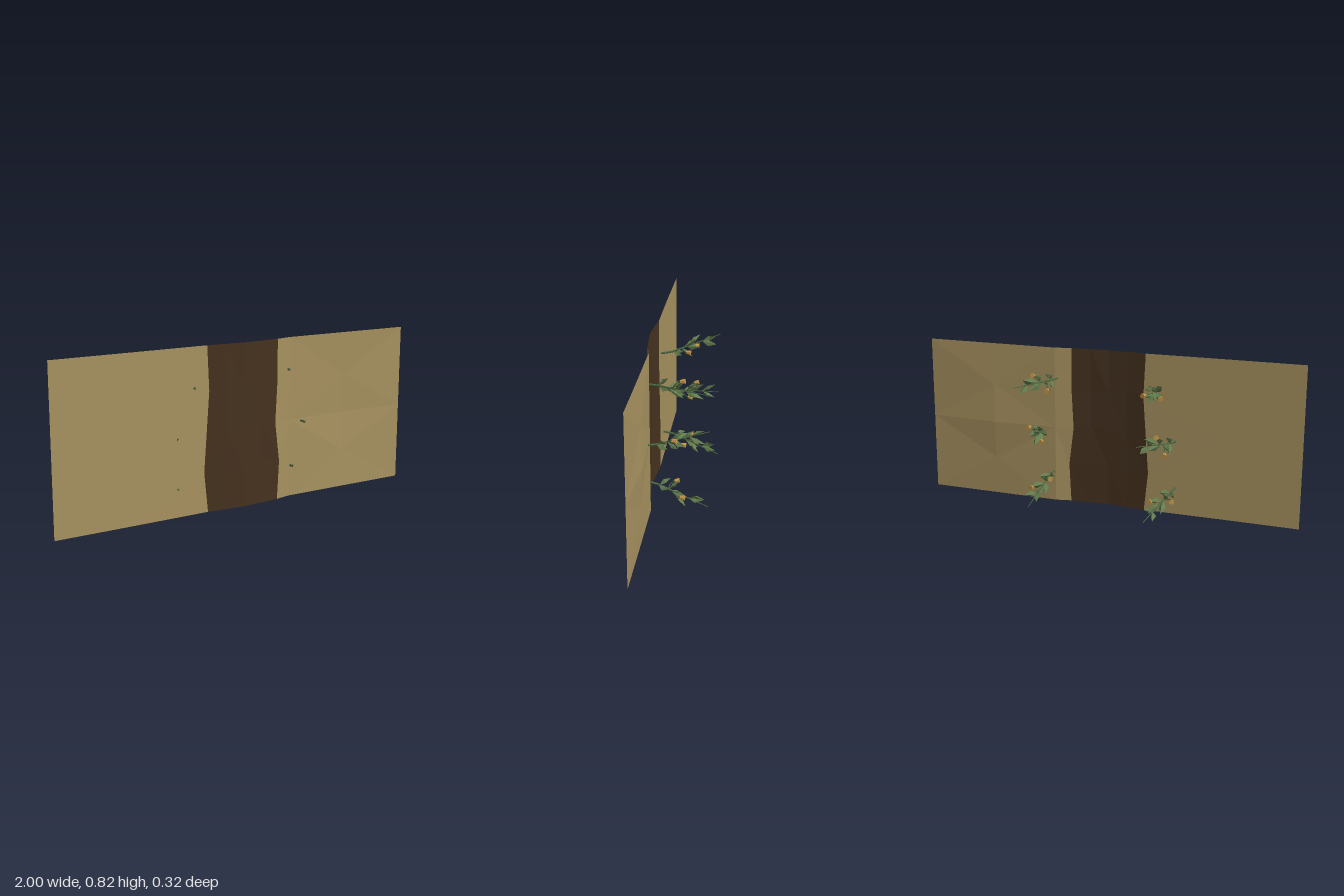
import * as THREE from 'three';

const V = (x, y, z) => new THREE.Vector3(x, y, z);

const mat = (name, color, side = THREE.FrontSide) => {
  const m = new THREE.MeshStandardMaterial({ color, side, flatShading: true });
  m.name = name;
  return m;
};

function addMesh(parent, name, geometry, material) {
  const m = new THREE.Mesh(geometry, material);
  m.name = name;
  parent.add(m);
  return m;
}

// Facetted sheet from rows of points (each row runs along x, rows go up)
function sheetGeometry(rows) {
  const pos = [];
  for (let r = 0; r < rows.length - 1; r++) {
    for (let c = 0; c < rows[r].length - 1; c++) {
      const [a, b, d, e] = [rows[r][c], rows[r][c + 1], rows[r + 1][c + 1], rows[r + 1][c]];
      const tris = (r + c) % 2 ? [a, b, d, a, d, e] : [a, b, e, b, d, e];
      tris.forEach((p) => pos.push(p.x, p.y, p.z));
    }
  }
  const g = new THREE.BufferGeometry();
  g.setAttribute('position', new THREE.Float32BufferAttribute(pos, 3));
  g.computeVertexNormals();
  return g;
}

// Folded diamond leaf between two points
function leafGeometry(from, to, width) {
  const dir = to.clone().sub(from);
  const side = dir.clone().cross(V(0, 0, 1)).normalize().multiplyScalar(width / 2);
  const up = side.clone().cross(dir).normalize().multiplyScalar(width * 0.25);
  const mid = from.clone().addScaledVector(dir, 0.48);
  const rib = mid.clone().sub(up);
  const left = mid.clone().add(side).add(up);
  const right = mid.clone().sub(side).add(up);
  return sheetGeometry([[from, left], [rib, to]].map((r) => r)).copy(
    new THREE.BufferGeometry().setFromPoints(
      [from, left, rib, rib, left, to, from, rib, right, rib, to, right])).toNonIndexed2?.() ??
    finish([from, left, rib, rib, left, to, from, rib, right, rib, to, right]);
}

function finish(points) {
  const g = new THREE.BufferGeometry().setFromPoints(points);
  g.computeVertexNormals();
  return g;
}

// Tapered tube along a curve
function taperedTube(points, r0, r1, segments) {
  const sides = 6;
  const curve = new THREE.CatmullRomCurve3(points);
  const g = new THREE.TubeGeometry(curve, segments, 1, sides, false);
  const p = g.attributes.position;
  for (let i = 0; i < p.count; i++) {
    const t = Math.floor(i / (sides + 1)) / segments;
    const c = curve.getPointAt(t);
    const v = V().fromBufferAttribute(p, i).sub(c).multiplyScalar(r0 + (r1 - r0) * t).add(c);
    p.setXYZ(i, v.x, v.y, v.z);
  }
  g.computeVertexNormals();
  return g;
}

function makePlant(m) {
  const plant = new THREE.Group();
  plant.name = 'plant';
  const path = [V(0, 0, 0.16), V(0.012, 0, 0.09), V(0.045, 0, 0.01), V(0.115, 0, -0.16)];
  addMesh(plant, 'stem', taperedTube(path, 0.006, 0.0018, 10), m.stem);

  // Leaves: base, tip, width
  const leaves = [
    [V(0.015, 0, 0.085), V(0.025, 0.042, 0.033), 0.032],
    [V(0.018, 0, 0.08), V(-0.012, -0.03, 0.03), 0.032],
    [V(0.04, 0, 0.025), V(0.075, -0.035, -0.045), 0.036],
    [V(0.045, 0, 0.015), V(0.055, 0.048, -0.05), 0.036],
    [V(0.05, 0, 0.0), V(0.115, 0.015, -0.053), 0.034],
    [V(0.035, 0, 0.035), V(-0.008, 0.005, -0.02), 0.032],
    [V(0.075, 0, -0.065), V(0.07, 0.038, -0.138), 0.034],
    [V(0.078, 0, -0.07), V(0.088, -0.03, -0.138), 0.032],
  ];
  leaves.forEach(([a, b, w]) => addMesh(plant, 'leaf', leafGeometry(a, b, w), m.leaf));

  // Buds on curved stalks
  const buds = [
    [V(0.045, 0, 0.01), V(0.06, 0.04, -0.02), V(0.002, 0.006, -0.03)],
    [V(0.035, 0, 0.035), V(0.005, -0.035, 0.015), V(-0.006, -0.004, -0.03)],
  ];
  buds.forEach(([root, base, dir]) => {
    const bend = root.clone().lerp(base, 0.6).add(V(0, 0, 0.008));
    addMesh(plant, 'budStalk', taperedTube([root, bend, base], 0.003, 0.002, 4), m.stem);
    const bud = new THREE.Group();
    bud.name = 'bud';
    bud.position.copy(base);
    bud.quaternion.setFromUnitVectors(V(0, 1, 0), dir.clone().normalize());
    plant.add(bud);
    addMesh(bud, 'budCup', new THREE.CylinderGeometry(0.013, 0.008, 0.026, 7), m.bud).position.y = 0.017;
    addMesh(bud, 'budBase', new THREE.CylinderGeometry(0.0095, 0.003, 0.01, 7), m.stem).position.y = 0.002;
  });
  return plant;
}

export function createModel() {
  const root = new THREE.Group();
  root.name = 'pathWithPlants';
  const m = {
    soil: mat('tanSoil', 0xa89260, THREE.DoubleSide),
    path: mat('darkEarth', 0x46321f, THREE.DoubleSide),
    leaf: mat('leafGreen', 0x627d4e, THREE.DoubleSide),
    stem: mat('stemGreen', 0x4c6840),
    bud: mat('budOchre', 0xc8994a),
  };

  // Row heights and the wavy borders of the dark strip
  const ys = [0, 0.2, 0.4, 0.6, 0.82];
  const leftX = [-0.2, -0.22, -0.205, -0.19, -0.2];
  const rightX = [0.205, 0.215, 0.19, 0.2, 0.2];
  const bulge = [0, 0.004, 0.016, 0.009, 0];
  const jitter = (r, c) => (r % 4 ? 0.004 * Math.sin(r * 5.1 + c * 3.7) : 0);

  addMesh(root, 'leftGround', sheetGeometry(ys.map((y, r) =>
    [V(-1, y, 0.15), V(-0.6, y, 0.148), V(leftX[r], y, 0.143)])), m.soil);
  addMesh(root, 'darkStrip', sheetGeometry(ys.map((y, r) => [
    V(leftX[r], y, 0.143),
    V(-0.1, y + jitter(r, 5) * 8, 0.152 + jitter(r, 1)),
    V(0, y, 0.159 + Math.min(0, jitter(r, 2))),
    V(0.1, y + jitter(r, 6) * 8, 0.152 + jitter(r, 3)),
    V(rightX[r], y, 0.143),
  ])), m.path);
  addMesh(root, 'rightGround', sheetGeometry(ys.map((y, r) => [
    V(rightX[r], y, 0.143), V(0.285, y, 0.125), V(0.63, y, 0.124 - bulge[r]), V(1, y, 0.124),
  ])), m.soil);

  // Plants: root position and the direction each one leans
  [
    [0.27, 0.66, 0], [0.365, 0.385, 160], [0.295, 0.165, -80],
    [-0.27, 0.62, 124], [-0.365, 0.385, 20], [-0.365, 0.14, -54],
  ].forEach(([x, y, deg]) => {
    const plant = makePlant(m);
    plant.position.set(x, y, 0);
    plant.rotation.z = THREE.MathUtils.degToRad(deg);
    root.add(plant);
  });
  return root;
}
